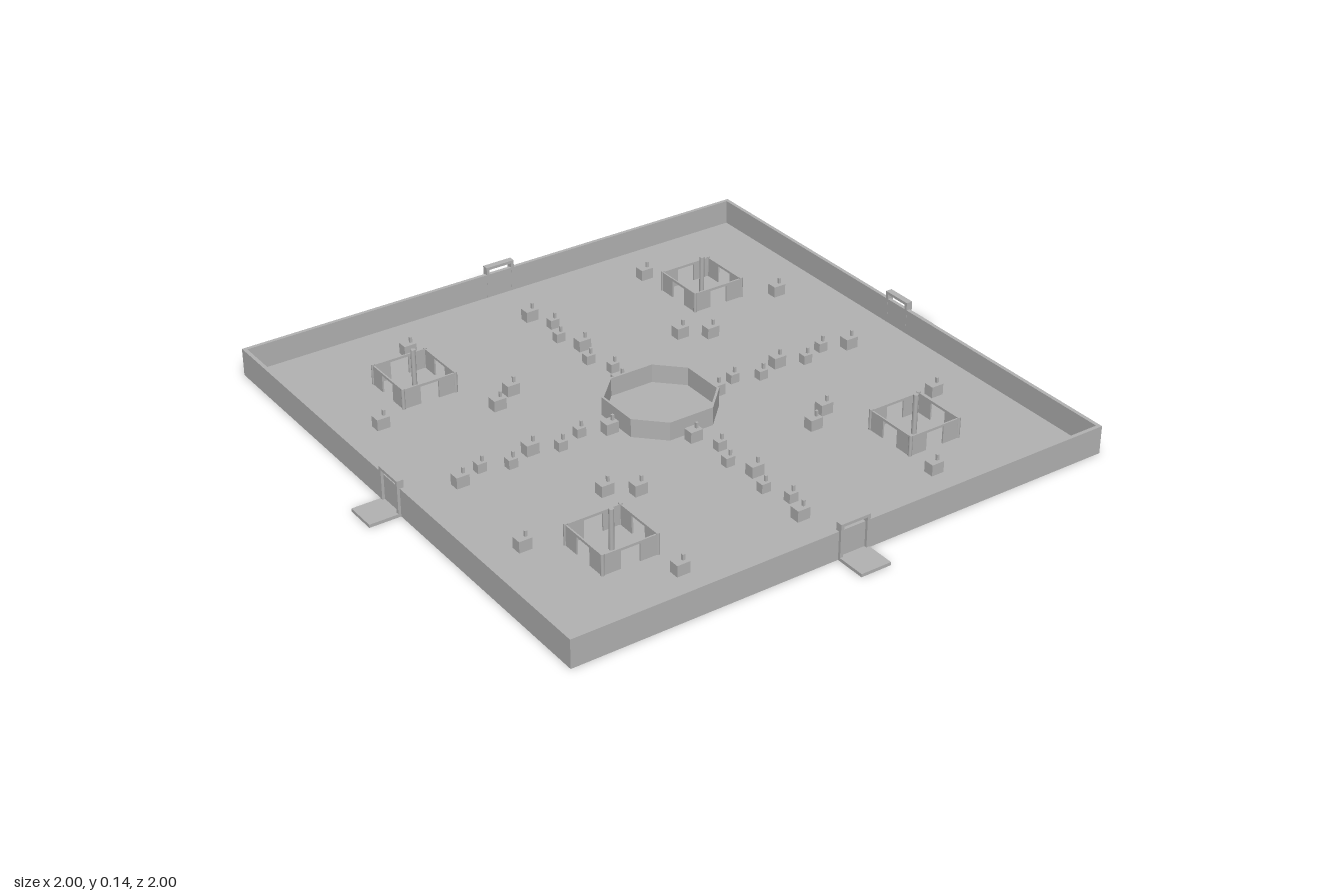
import * as THREE from 'three';

const grey = new THREE.MeshStandardMaterial({ color: 0xb2b2b2 });
grey.name = 'plain grey';

const FLOOR = 0.01;

function add(parent, name, geometry, x, y, z) {
  const mesh = new THREE.Mesh(geometry, grey);
  mesh.name = name;
  mesh.position.set(x, y, z);
  parent.add(mesh);
  return mesh;
}

// Box given by its centre in x and z and its bottom and top heights
function block(parent, name, x, z, w, d, y0, y1) {
  return add(parent, name, new THREE.BoxGeometry(w, y1 - y0, d), x, (y0 + y1) / 2, z);
}

function post(parent, name, x, z, r, y0, y1) {
  return add(parent, name, new THREE.CylinderGeometry(r, r, y1 - y0, 8), x, (y0 + y1) / 2, z);
}

// One side of the compound: wall, gate frame and entrance ramp, facing +z
function createSide() {
  const side = new THREE.Group();
  side.name = 'side';
  block(side, 'wall', 0, 0.894, 1.8, 0.012, FLOOR, 0.09);
  for (const s of [-1, 1]) block(side, 'gatePost', s * 0.045, 0.898, 0.01, 0.021, FLOOR, 0.115);
  block(side, 'gateLintel', 0, 0.898, 0.1, 0.021, 0.106, 0.115);
  block(side, 'ramp', 0, 0.95, 0.1, 0.1, 0, FLOOR);
  return side;
}

// Square pavilion with a doorway in every side and a tall pole in the middle
function createPavilion() {
  const pavilion = new THREE.Group();
  pavilion.name = 'pavilion';
  const half = 0.089, top = 0.075;
  for (let i = 0; i < 4; i++) {
    const side = new THREE.Group();
    side.name = 'pavilionSide';
    for (const s of [-1, 1]) block(side, 'panel', s * 0.06, half, 0.058, 0.005, FLOOR, top);
    block(side, 'lintel', 0, half, 0.062, 0.005, top - 0.008, top);
    post(side, 'cornerPost', half, half, 0.006, FLOOR, top + 0.003);
    side.rotation.y = i * Math.PI / 2;
    pavilion.add(side);
  }
  post(pavilion, 'pole', 0, 0, 0.008, FLOOR, 0.14);
  return pavilion;
}

// Small house with a chimney on its +x side
function createHouse(x, z, large) {
  const house = new THREE.Group();
  house.name = 'house';
  const [w, d, h] = large ? [0.042, 0.034, 0.036] : [0.03, 0.027, 0.03];
  block(house, 'houseBody', 0, 0, w, d, FLOOR, FLOOR + h);
  block(house, 'chimney', w * 0.24, 0, 0.008, 0.008, FLOOR + h, FLOOR + h + 0.018);
  house.position.set(x, 0, z);
  return house;
}

// Eight-sided open ring in the centre
function createRing() {
  const outline = (a, b) => [[b, a], [a, b], [-a, b], [-b, a], [-b, -a], [-a, -b], [a, -b], [b, -a]]
    .map(([x, y]) => new THREE.Vector2(x, y));
  const shape = new THREE.Shape(outline(0.076, 0.157));
  shape.holes.push(new THREE.Path(outline(0.073, 0.15)));
  const geometry = new THREE.ExtrudeGeometry(shape, { depth: 0.06, bevelEnabled: false });
  geometry.rotateX(-Math.PI / 2);
  return geometry;
}

export function createModel() {
  const model = new THREE.Group();
  model.name = 'walledCompound';

  block(model, 'floor', 0, 0, 1.8, 1.8, 0, FLOOR);
  for (let i = 0; i < 4; i++) {
    const side = createSide();
    side.rotation.y = i * Math.PI / 2;
    model.add(side);
  }
  add(model, 'centreRing', createRing(), 0, FLOOR, 0);

  // Houses staggered along the two main streets
  for (let i = 0; i < 7; i++) {
    const along = 0.19 + i * 0.0835;
    const across = i % 2 ? -0.016 : 0.016;
    for (const s of [-1, 1]) {
      model.add(createHouse(s * along, across, i % 3 === 0));
      model.add(createHouse(-across, s * along, i % 3 === 0));
    }
  }

  // A pavilion and four houses in each quarter
  const quarter = [[0.437, 0.718], [0.718, 0.385], [0.307, 0.334], [0.385, 0.283]];
  for (const sx of [-1, 1]) {
    for (const sz of [-1, 1]) {
      const pavilion = createPavilion();
      pavilion.position.set(sx * 0.525, 0, sz * 0.525);
      model.add(pavilion);
      for (const [x, z] of quarter) model.add(createHouse(sx * x, sz * z, true));
    }
  }
  return model;
}
